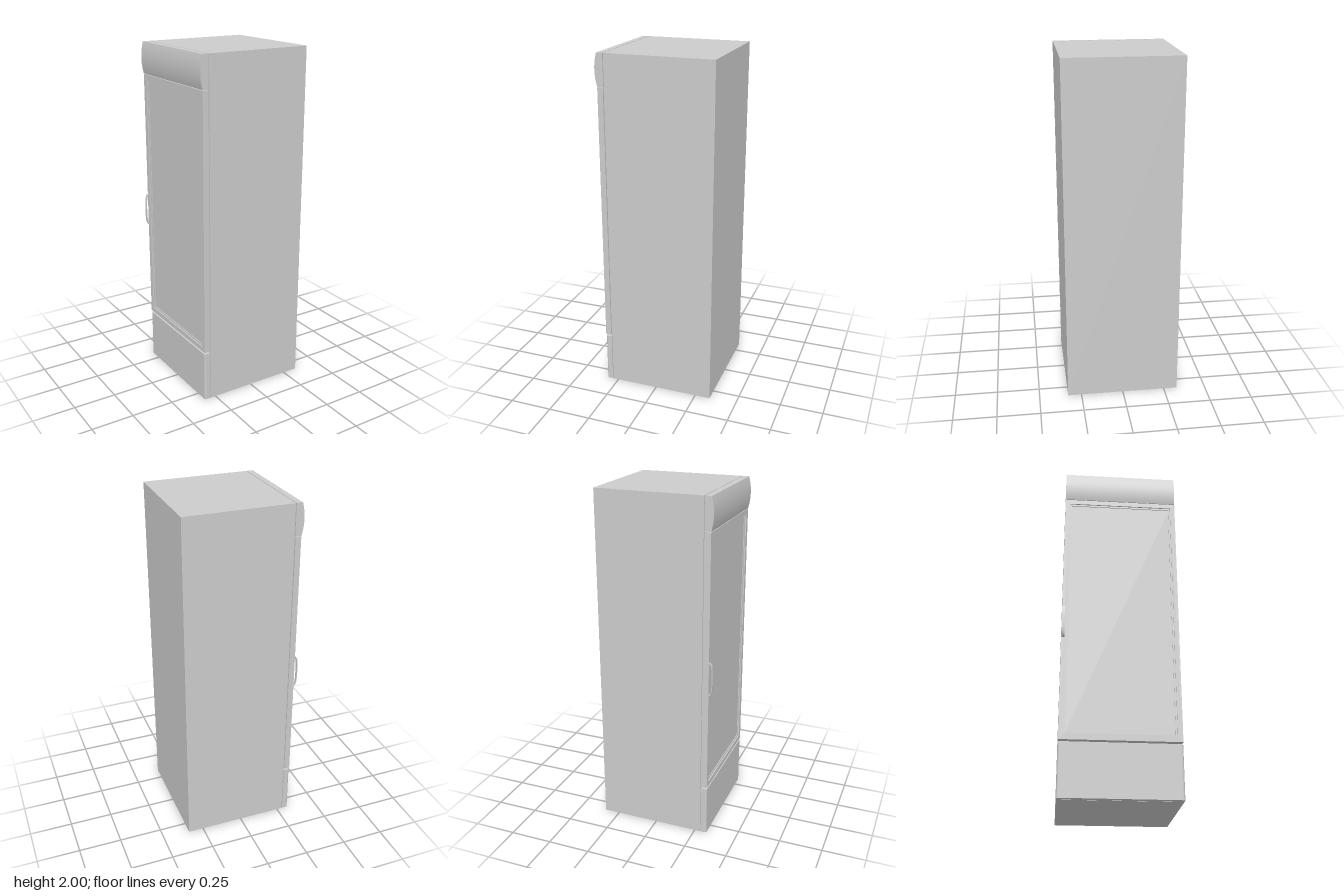
import * as THREE from 'three';

const material = new THREE.MeshStandardMaterial({ color: 0xcccccc });
const HALF = 0.33; // half width of the cabinet along z

function add(group, name, geometry) {
  const mesh = new THREE.Mesh(geometry, material);
  mesh.name = name;
  group.add(mesh);
}

// Box given by its minimum and maximum corners
function block(x0, x1, y0, y1, z0, z1) {
  return new THREE.BoxGeometry(x1 - x0, y1 - y0, z1 - z0)
    .translate((x0 + x1) / 2, (y0 + y1) / 2, (z0 + z1) / 2);
}

// Rectangular ring in the z-y plane, growing from x towards -x
function ring(x, depth, halfWidth, y0, y1, border) {
  const rect = (Type, w, a, b) => {
    const p = new Type();
    p.moveTo(-w, a).lineTo(w, a).lineTo(w, b).lineTo(-w, b).closePath();
    return p;
  };
  const shape = rect(THREE.Shape, halfWidth, y0, y1);
  shape.holes.push(rect(THREE.Path, halfWidth - border, y0 + border, y1 - border));
  return new THREE.ExtrudeGeometry(shape, { depth, bevelEnabled: false })
    .rotateY(-Math.PI / 2).translate(x, 0, 0);
}

// Shape in the x-y plane swept along z
function sweepZ(shape, z0, z1) {
  return new THREE.ExtrudeGeometry(shape, { depth: z1 - z0, bevelEnabled: false, curveSegments: 16 })
    .translate(0, 0, z0);
}

export function createModel() {
  const cooler = new THREE.Group();
  cooler.name = 'displayCooler';

  // Cabinet and the seal set back behind the front parts
  add(cooler, 'cabinet', block(-0.282, 0.34, 0, 2, -HALF, HALF));
  add(cooler, 'seal', block(-0.288, -0.281, 0.006, 1.994, -HALF + 0.008, HALF - 0.008));

  // Bulging header above the door
  const header = new THREE.Shape();
  header.moveTo(-0.286, 1.818);
  header.lineTo(-0.286, 2);
  header.lineTo(-0.322, 2);
  header.quadraticCurveTo(-0.348, 1.909, -0.322, 1.818);
  header.closePath();
  add(cooler, 'header', sweepZ(header, -HALF, HALF));

  // Door: frame, inner trim and glass
  const door = new THREE.Group();
  door.name = 'door';
  add(door, 'doorFrame', ring(-0.289, 0.033, HALF, 0.308, 1.815, 0.028));
  add(door, 'glassTrim', ring(-0.289, 0.026, HALF - 0.028, 0.336, 1.787, 0.01));
  add(door, 'glass', block(-0.31, -0.289, 0.34, 1.783, -HALF + 0.032, HALF - 0.032));
  cooler.add(door);

  // Thin bowed handle
  const handle = new THREE.Shape();
  handle.moveTo(-0.32, 0.895);
  handle.bezierCurveTo(-0.339, 0.9, -0.343, 0.925, -0.343, 0.995);
  handle.bezierCurveTo(-0.343, 1.065, -0.339, 1.09, -0.32, 1.095);
  handle.lineTo(-0.32, 1.089);
  handle.bezierCurveTo(-0.334, 1.085, -0.338, 1.06, -0.338, 0.995);
  handle.bezierCurveTo(-0.338, 0.93, -0.334, 0.905, -0.32, 0.901);
  handle.closePath();
  add(door, 'handle', sweepZ(handle, -0.328, -0.313));

  // Kick panel with softened upright corners
  const r = 0.012;
  const kick = new THREE.Shape();
  kick.moveTo(-0.286, -HALF);
  kick.lineTo(-0.286, HALF);
  kick.lineTo(-0.322 + r, HALF);
  kick.quadraticCurveTo(-0.322, HALF, -0.322, HALF - r);
  kick.lineTo(-0.322, -HALF + r);
  kick.quadraticCurveTo(-0.322, -HALF, -0.322 + r, -HALF);
  kick.closePath();
  add(cooler, 'kickPanel', new THREE.ExtrudeGeometry(kick, { depth: 0.296, bevelEnabled: false, curveSegments: 8 })
    .rotateX(-Math.PI / 2));

  return cooler;
}
